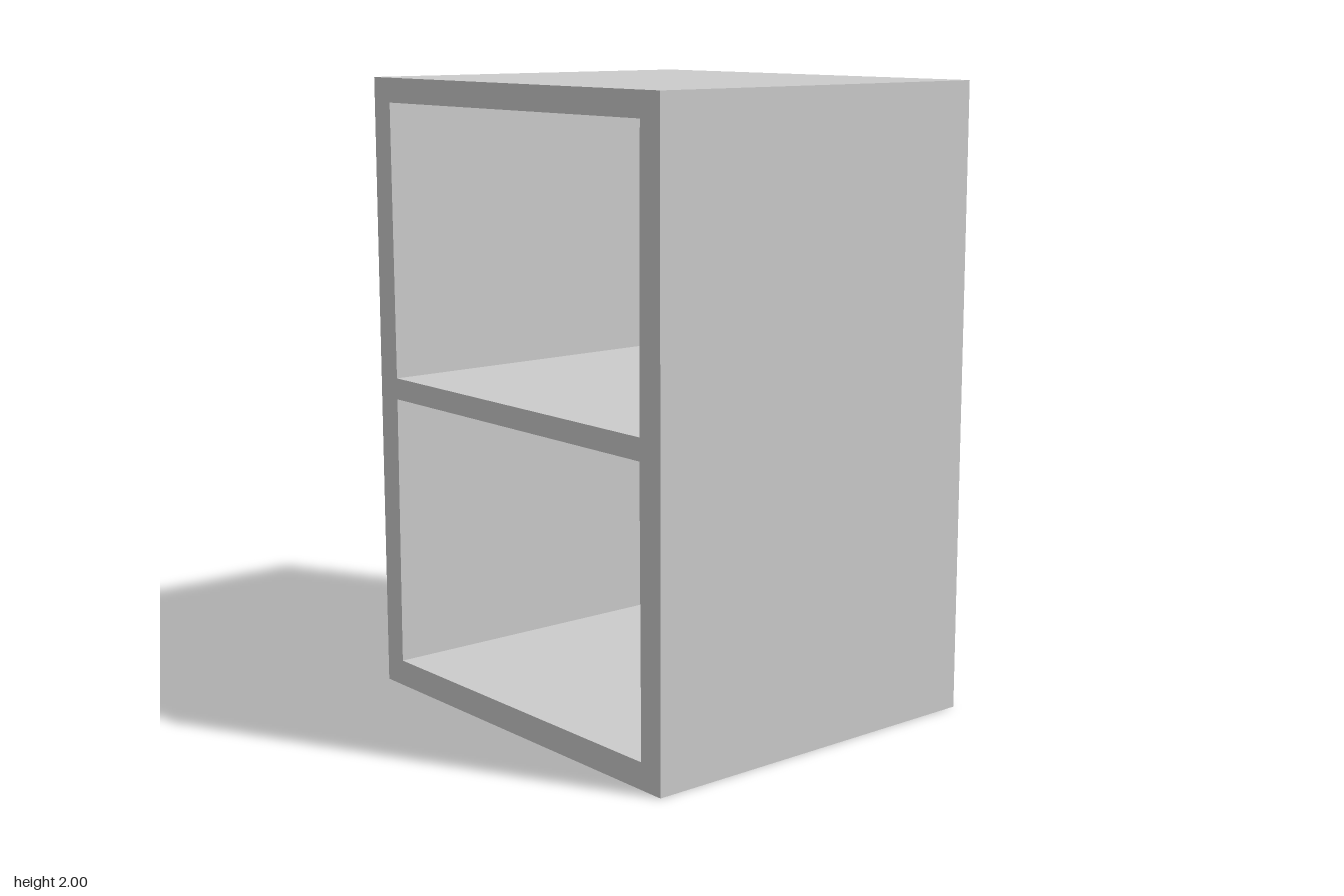
import * as THREE from 'three';

const W = 0.708, H = 2, D = 0.617; // half width, height, half depth
const CAVITY_BACK = -0.473;

// Closed outline from corner points
const trace = (path, pts) => {
  path.setFromPoints(pts.map(([x, y]) => new THREE.Vector2(x, y)));
  path.closePath();
  return path;
};

export function createModel() {
  const group = new THREE.Group();
  group.name = 'openCabinet';
  const grey = new THREE.MeshStandardMaterial({ color: 0xcccccc });
  grey.name = 'light grey';

  // Frame with two openings, each slightly narrower towards the middle shelf
  const shape = trace(new THREE.Shape(), [[-W, 0], [W, 0], [W, H], [-W, H]]);
  for (const [outer, inner] of [[0.084, 0.968], [1.922, 1.037]]) {
    shape.holes.push(trace(new THREE.Path(),
      [[-0.622, outer], [0.622, outer], [0.617, inner], [-0.617, inner]]));
  }
  const frameGeo = new THREE.ExtrudeGeometry(shape, { depth: D - CAVITY_BACK, bevelEnabled: false });
  frameGeo.translate(0, 0, CAVITY_BACK);
  const frame = new THREE.Mesh(frameGeo, grey);
  frame.name = 'frameWithShelf';

  // Solid back closing both compartments
  const t = CAVITY_BACK + D;
  const back = new THREE.Mesh(new THREE.BoxGeometry(2 * W, H, t), grey);
  back.position.set(0, H / 2, -D + t / 2);
  back.name = 'backPanel';

  group.add(frame, back);
  return group;
}
